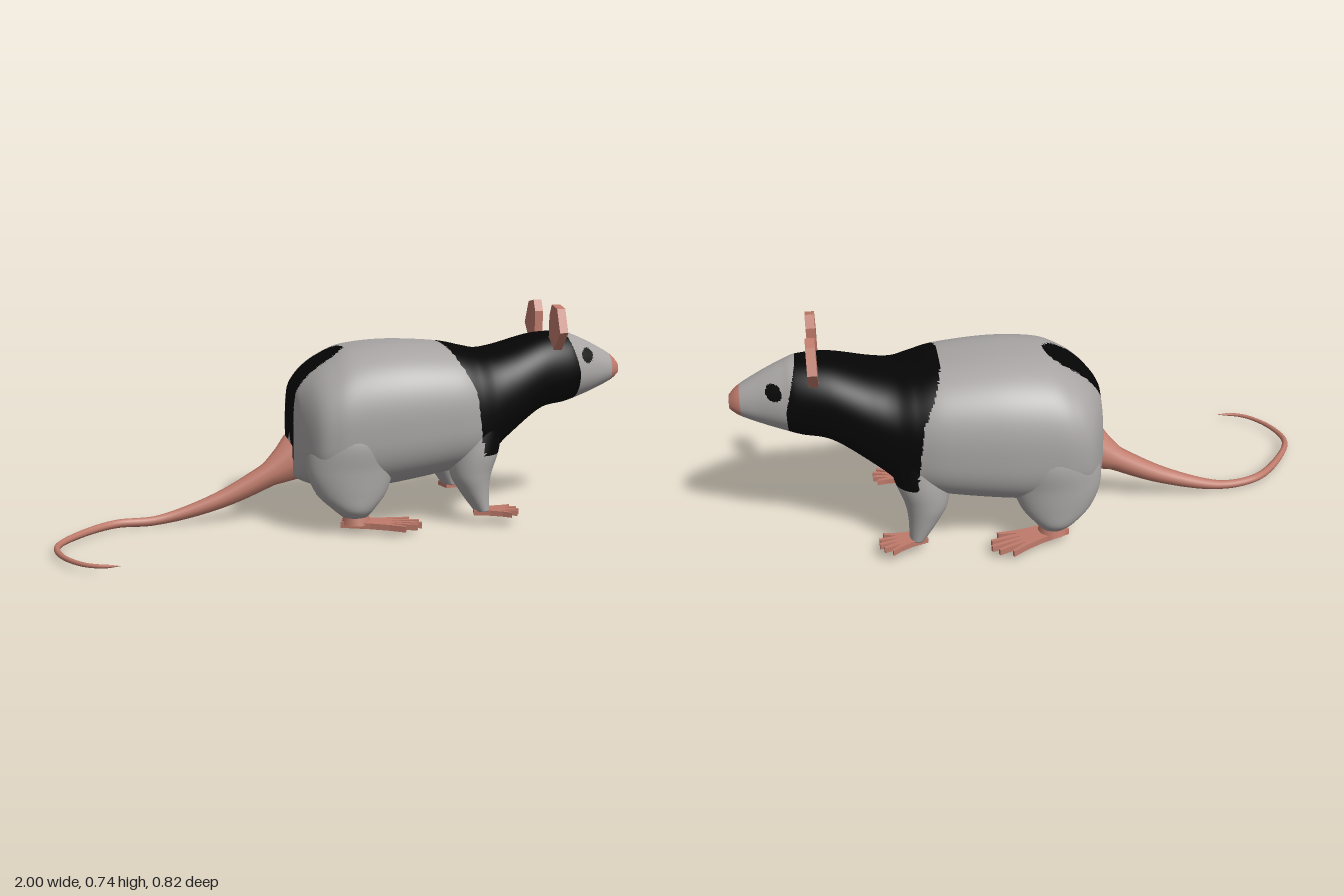
import * as THREE from 'three';

const mat = (name, color) => Object.assign(new THREE.MeshStandardMaterial({ color }), { name });

// Smooth interpolation through rows of numbers, t in 0..1
function sample(rows, t) {
  const f = t * (rows.length - 1);
  const i = Math.min(Math.floor(f), rows.length - 2);
  const k = f - i;
  const a = rows[Math.max(i - 1, 0)], b = rows[i], c = rows[i + 1], d = rows[Math.min(i + 2, rows.length - 1)];
  return b.map((_, n) => {
    const m0 = (c[n] - a[n]) / 2, m1 = (d[n] - b[n]) / 2;
    return b[n] + k * (m0 + k * (3 * (c[n] - b[n]) - 2 * m0 - m1 + k * (2 * (b[n] - c[n]) + m0 + m1)));
  });
}

// Closed loft; each triangle goes to the colour group given by paint(x, y, z)
function loft(rows, rings, sides, place, paint) {
  const pos = [], groups = [[], [], []];
  for (let i = 0; i <= rings; i++) {
    const row = sample(rows, i / rings);
    for (let j = 0; j < sides; j++) pos.push(...place(row, (j / sides) * Math.PI * 2));
  }
  // end caps: a centre point for the first and last ring
  const centre = (ring) => {
    const c = [0, 0, 0];
    for (let j = 0; j < sides; j++) for (let n = 0; n < 3; n++) c[n] += pos[(ring * sides + j) * 3 + n] / sides;
    return c;
  };
  const capA = pos.length / 3, capB = capA + 1;
  pos.push(...centre(0), ...centre(rings));
  const add = (a, b, c) => {
    const mid = [0, 1, 2].map((n) => (pos[a * 3 + n] + pos[b * 3 + n] + pos[c * 3 + n]) / 3);
    groups[paint(...mid)].push(a, b, c);
  };
  for (let j = 0; j < sides; j++) {
    const k = (j + 1) % sides;
    for (let i = 0; i < rings; i++) {
      const p = i * sides, q = p + sides;
      add(p + j, q + j, p + k);
      add(q + j, q + k, p + k);
    }
    add(capA, j, k);
    add(capB, rings * sides + k, rings * sides + j);
  }
  const geo = new THREE.BufferGeometry();
  geo.setAttribute('position', new THREE.Float32BufferAttribute(pos, 3));
  geo.setIndex(groups.flat());
  let start = 0;
  groups.forEach((g, n) => { geo.addGroup(start, g.length, n); start += g.length; });
  geo.computeVertexNormals();
  return geo;
}

// Coat pattern: 0 grey fur, 1 black fur, 2 pink skin
function coat(x, y, z) {
  if (x > 0.965) return 2;
  if (Math.abs(z) > 0.05 && Math.hypot(x - 0.855, y - 0.557) < 0.025) return 1;
  const back = y > 0.47 ? 0.4 - (y - 0.47) * 0.5 : 0.43 - (y - 0.25) * 0.14;
  const front = 0.82 - Math.max(0, y - 0.5) * 0.27;
  const low = 0.25 + 0.1 * Math.max(0, 1 - (z / 0.13) ** 2);
  if (x > back && x < front && y > low) return 1;
  const round = x > -0.1 ? Math.sqrt(Math.max(0, 1 - ((x + 0.1) / 0.085) ** 2)) : 1;
  if (x < -0.015 && y > 0.25 && Math.abs(z) < 0.088 * round) return 1;
  return 0;
}

// Flat foot with fanned toes; heel at the origin, pointing along +x
function footGeometry(length, heel, width, thick, side) {
  const palm = length * 0.62, toes = 5;
  const pts = [[0, -heel], [palm * 0.6, -width * 0.75]];
  for (let i = 0; i < toes; i++) {
    const u = (i / (toes - 1)) * 2 - 1;
    const reach = length * (1 - 0.18 * u * u), mid = u * width * 1.15, w = width * 0.17;
    pts.push([palm, u * width * 0.8 - w], [reach, mid - w * 0.7], [reach, mid + w * 0.7], [palm, u * width * 0.8 + w]);
  }
  pts.push([palm * 0.6, width * 0.75], [0, heel]);
  const shape = new THREE.Shape(pts.map(([x, y]) => new THREE.Vector2(x, y * side)));
  return new THREE.ExtrudeGeometry(shape, { depth: thick, bevelEnabled: false }).rotateX(-Math.PI / 2);
}

export function createModel() {
  const model = new THREE.Group();
  model.name = 'rat';
  const grey = mat('greyFur', 0xa8a4a4), black = mat('blackFur', 0x050505), pink = mat('pinkSkin', 0xbf7b6b);
  const fur = [grey, black, pink];
  const rat = new THREE.Group();
  rat.name = 'ratBody';
  rat.position.z = -0.085;
  model.add(rat);
  const part = (name, geo, material) => {
    const mesh = new THREE.Mesh(geo, material);
    mesh.name = name;
    rat.add(mesh);
    return mesh;
  };

  // Torso and head: x, top, bottom, half width, roundness power
  const sections = [
    [-0.2, 0.465, 0.17, 0.09, 0.85], [-0.185, 0.49, 0.155, 0.17, 0.8], [-0.14, 0.535, 0.14, 0.25, 0.78],
    [-0.08, 0.575, 0.125, 0.278, 0.77], [0, 0.607, 0.118, 0.285, 0.77], [0.15, 0.62, 0.135, 0.284, 0.77],
    [0.33, 0.61, 0.165, 0.267, 0.77], [0.42, 0.592, 0.185, 0.246, 0.78], [0.48, 0.582, 0.21, 0.226, 0.8],
    [0.55, 0.594, 0.27, 0.2, 0.82], [0.68, 0.63, 0.362, 0.157, 0.85], [0.78, 0.635, 0.383, 0.13, 0.9],
    [0.83, 0.622, 0.395, 0.112, 1], [0.9, 0.59, 0.42, 0.08, 1], [0.97, 0.55, 0.452, 0.05, 1], [1, 0.52, 0.475, 0.026, 1],
  ];
  const pow = (v, e) => Math.sign(v) * Math.abs(v) ** e;
  part('body', loft(sections, 225, 120, ([x, top, bottom, half, e], a) => {
    const mid = bottom + 0.43 * (top - bottom), s = pow(Math.sin(a), e);
    return [x, mid + s * (s > 0 ? top - mid : mid - bottom), half * pow(Math.cos(a), e)];
  }, coat), fur);

  // Legs from the ankle up: y, x, x radius, z, z radius
  const hind = [
    [0.06, -0.015, 0.045, 0.215, 0.045], [0.09, -0.02, 0.075, 0.218, 0.064], [0.14, -0.025, 0.12, 0.208, 0.078],
    [0.22, -0.025, 0.15, 0.19, 0.096], [0.32, -0.01, 0.155, 0.165, 0.12], [0.44, 0, 0.12, 0.12, 0.12],
  ];
  const fore = [
    [0.05, 0.435, 0.027, 0.195, 0.042], [0.12, 0.41, 0.052, 0.187, 0.058], [0.18, 0.4, 0.072, 0.178, 0.072],
    [0.27, 0.415, 0.088, 0.165, 0.083], [0.4, 0.43, 0.09, 0.135, 0.085], [0.5, 0.43, 0.05, 0.09, 0.06],
  ];
  const ear = [[0.12, 0.585], [0.175, 0.65], [0.14, 0.73], [0.09, 0.74], [0.07, 0.7], [0.07, 0.62]];

  for (const side of [1, -1]) {
    const tag = side > 0 ? 'Near' : 'Far';
    const leg = (rows) => loft(rows, 50, 48, ([y, x, rx, z, rz], a) =>
      [x + rx * Math.cos(a), y, side * z + rz * Math.sin(a)], coat);
    part('hindLeg' + tag, leg(hind), fur);
    part('foreLeg' + tag, leg(fore), fur);

    // Feet turn slightly outward
    const hindFoot = part('hindFoot' + tag, footGeometry(0.27, 0.032, 0.05, 0.02, -side), pink);
    hindFoot.position.set(-0.055, 0.022, side * 0.195);
    hindFoot.rotation.y = -side * 0.33;
    const heel = part('heel' + tag, new THREE.CylinderGeometry(0.04, 0.05, 0.04, 12), pink);
    heel.position.set(-0.01, 0.053, side * 0.212);
    const foreFoot = part('foreFoot' + tag, footGeometry(0.155, 0.03, 0.045, 0.018, -side), pink);
    foreFoot.position.set(0.41, 0.036, side * 0.19);
    foreFoot.rotation.y = -side * 0.25;

    // Ears
    const outline = new THREE.Shape(ear.map(([z, y]) => new THREE.Vector2(z * side, y)));
    part('ear' + tag, new THREE.ExtrudeGeometry(outline, { depth: 0.03, bevelEnabled: false })
      .rotateY(-Math.PI / 2).translate(0.743, 0, 0), pink);
  }

  // Tail: a tube narrowed along its length, curling at the end
  const path = new THREE.CatmullRomCurve3([
    [-0.17, 0.225, 0], [-0.27, 0.165, 0], [-0.45, 0.078, -0.003], [-0.66, 0.02, -0.005], [-0.8, 0.022, 0.02],
    [-0.93, 0.024, 0.145], [-0.988, 0.024, 0.255], [-0.97, 0.024, 0.365], [-0.91, 0.024, 0.455],
    [-0.86, 0.024, 0.485], [-0.8, 0.024, 0.495],
  ].map((p) => new THREE.Vector3(...p)));
  const radii = [[0, 0.088], [0.035, 0.066], [0.09, 0.042], [0.25, 0.028], [0.4, 0.016], [0.7, 0.011], [0.97, 0.006], [1, 0.0005]];
  const steps = 80, sides = 10;
  const tail = new THREE.TubeGeometry(path, steps, 1, sides);
  const p = tail.attributes.position, v = new THREE.Vector3();
  for (let i = 0; i < p.count; i++) {
    const t = Math.floor(i / (sides + 1)) / steps;
    const n = Math.max(1, radii.findIndex((r) => r[0] >= t));
    const [t0, r0] = radii[n - 1], [t1, r1] = radii[n];
    const c = path.getPointAt(t);
    v.fromBufferAttribute(p, i).sub(c).multiplyScalar(THREE.MathUtils.mapLinear(t, t0, t1, r0, r1)).add(c);
    p.setXYZ(i, v.x, v.y, v.z);
  }
  part('tail', tail, pink);
  return model;
}
